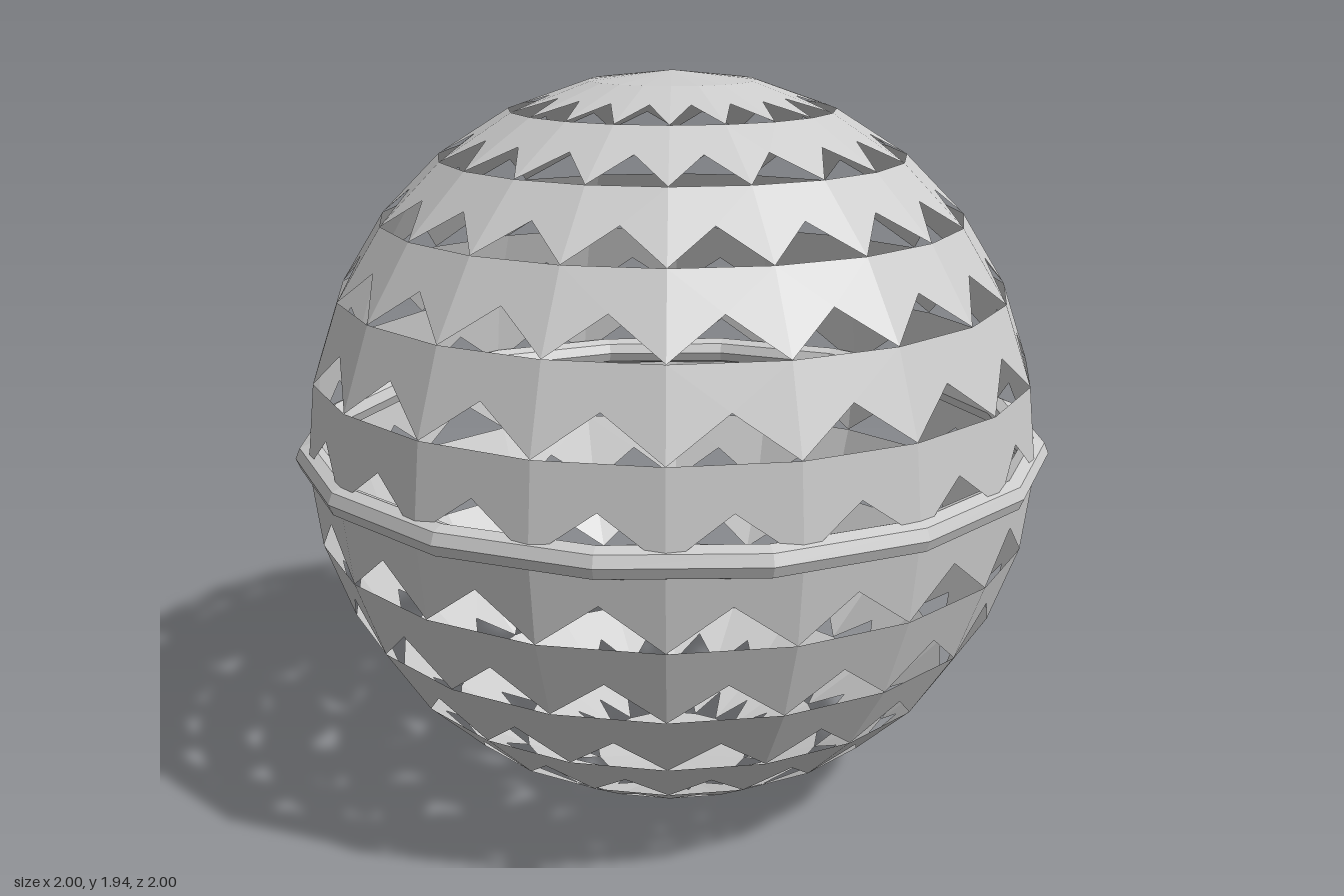
import * as THREE from 'three';

const R = 0.97;        // shell radius, also the height of its centre
const SEGMENTS = 20;   // facets around
const ROWS = 14;       // facets from pole to pole

const grey = new THREE.MeshStandardMaterial({ color: 0xcccccc, side: THREE.DoubleSide, flatShading: true });
grey.name = 'lightGrey';

// Grid point on the faceted sphere: row counted from the top, column around
function gridPoint(row, col) {
  return new THREE.Vector3().setFromSphericalCoords(
    R, (row / ROWS) * Math.PI, (col / SEGMENTS) * Math.PI * 2);
}

// Builds one horizontal band of the shell from a per-facet list of triangles
function makeBand(row, name) {
  const corners = [];
  for (let col = 0; col < SEGMENTS; col++) {
    const a = gridPoint(row, col), b = gridPoint(row + 1, col);
    const c = gridPoint(row + 1, col + 1), d = gridPoint(row, col + 1);
    if (row === 0) corners.push(a, b, c);                // top cap wedge
    else if (row === ROWS - 1) corners.push(a, b, d);    // bottom cap wedge
    else {
      // The lower quarter of each facet is cut out, leaving pointed teeth
      const m = new THREE.Vector3().add(a).add(b).add(c).add(d).multiplyScalar(0.25);
      corners.push(a, b, m, c, d, m, d, a, m);
    }
  }
  const geometry = new THREE.BufferGeometry().setFromPoints(corners);
  geometry.computeVertexNormals();
  const mesh = new THREE.Mesh(geometry, grey);
  mesh.name = name;
  return mesh;
}

export function createModel() {
  const model = new THREE.Group();
  model.name = 'toothedSphere';

  // Shell: plain caps at the poles and toothed bands between them
  const shell = new THREE.Group();
  shell.name = 'shell';
  for (let row = 0; row < ROWS; row++) {
    const name = row === 0 ? 'topCap' : row === ROWS - 1 ? 'bottomCap' : 'toothedBand' + row;
    shell.add(makeBand(row, name));
  }
  shell.position.y = R;
  model.add(shell);

  // Ring around the equator
  const ring = new THREE.Mesh(new THREE.TorusGeometry(0.96, 0.04, 8, 16), grey);
  ring.name = 'equatorRing';
  ring.rotation.x = Math.PI / 2;
  ring.position.y = R;
  model.add(ring);

  return model;
}
